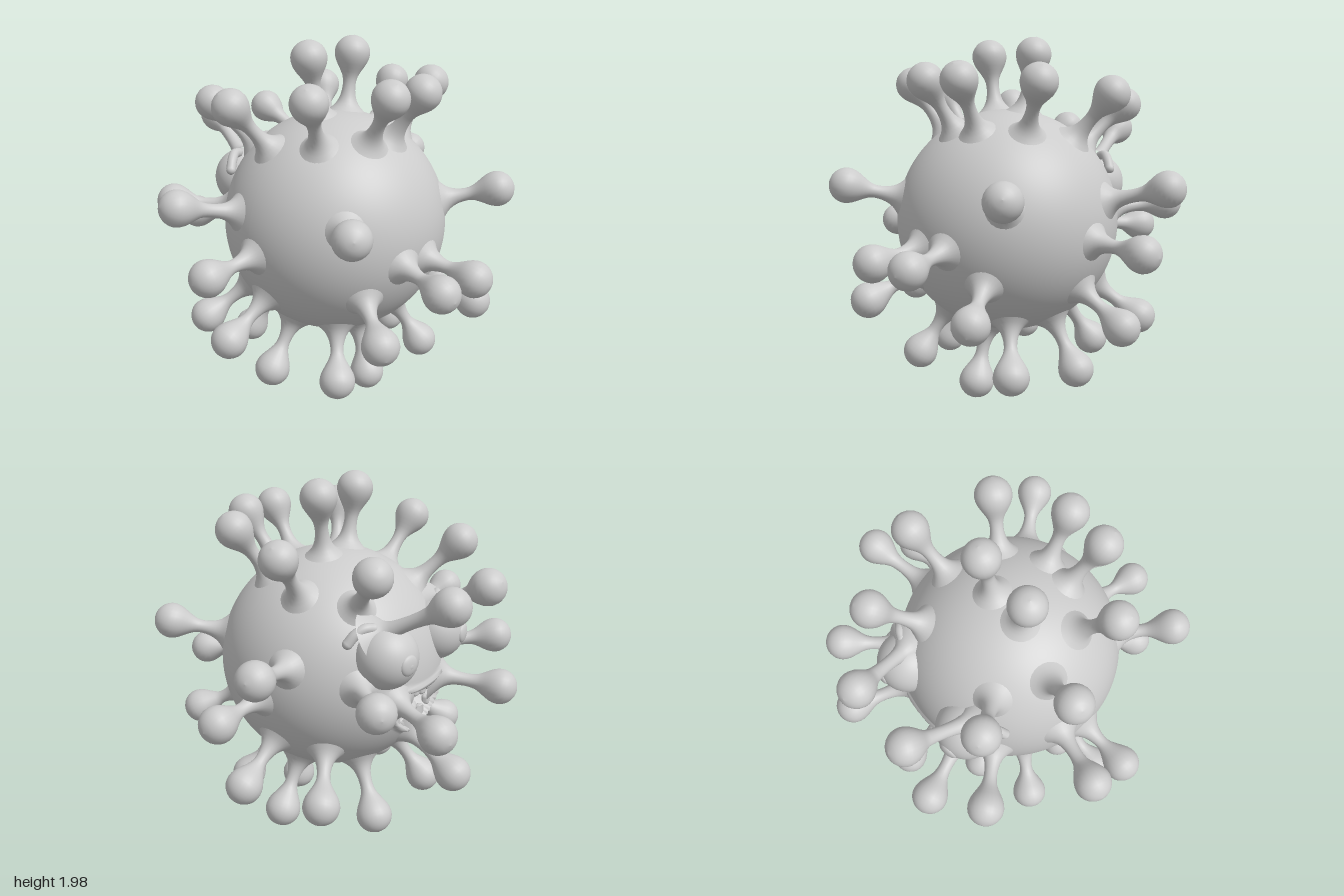
import * as THREE from 'three';
import { RoundedBoxGeometry } from 'three/addons/geometries/RoundedBoxGeometry.js';

const R = 0.62;
const CENTRE = new THREE.Vector3(0, 0.98, 0);
const UP = new THREE.Vector3(0, 1, 0);
const grey = new THREE.MeshStandardMaterial({ color: 0xcccccc, roughness: 0.7 });
const V = (x, y, z) => new THREE.Vector3(x, y, z);

function add(parent, name, geometry, position) {
  const mesh = new THREE.Mesh(geometry, grey);
  mesh.name = name;
  if (position) mesh.position.copy(position);
  parent.add(mesh);
  return mesh;
}

// Mouth outline: curved ellipse on the back; positive inside, negative outside
const mouthMid = (x) => 0.82 + 0.09 * (x / 0.25) ** 2;
function mouthField(x, y) {
  const u = x / 0.25, v = (y - mouthMid(x)) / 0.125;
  return 1 - u * u - v * v;
}

// Point on the ball's rear at a given x, y
const rear = (x, y, r) => V(x, y, -Math.sqrt(Math.max(0, r * r - x * x - (y - CENTRE.y) ** 2)));

// Ball with the mouth cavity pushed in and a soft lip around it
function bodyGeometry() {
  const g = new THREE.SphereGeometry(R, 200, 130);
  const p = g.attributes.position, v = V(0, 0, 0);
  for (let i = 0; i < p.count; i++) {
    v.fromBufferAttribute(p, i);
    if (v.z > -0.2) continue;
    const m = mouthField(v.x, v.y + CENTRE.y);
    const cavity = 0.17 * THREE.MathUtils.smoothstep(m, 0, 0.35);
    const lip = 0.018 * Math.exp(-(((m + 0.2) / 0.22) ** 2));
    v.setLength(R - cavity + lip);
    p.setXYZ(i, v.x, v.y, v.z);
  }
  g.computeVertexNormals();
  return g;
}

// Flared stalk ending in a round knob
function addSpike(parent, tip, base) {
  if (!base) base = tip.clone().sub(CENTRE).setLength(0.6).add(CENTRE);
  const axis = tip.clone().sub(base), L = axis.length();
  const profile = new THREE.SplineCurve([
    [0.15, -0.025], [0.098, 0.014], [0.062, 0.05], [0.042, 0.095], [0.035, L * 0.47],
    [0.042, L - 0.125], [0.064, L - 0.083], [0.087, L - 0.042], [0.097, L],
    [0.09, L + 0.037], [0.069, L + 0.068], [0.037, L + 0.089], [0, L + 0.097],
  ].map(([r, y]) => new THREE.Vector2(r, y))).getPoints(24);
  profile.forEach((q) => { q.x = Math.max(0, q.x); });
  const mesh = add(parent, 'spike', new THREE.LatheGeometry(profile, 24), base);
  mesh.quaternion.setFromUnitVectors(UP, axis.normalize());
}

// Knob centres on one half; mirrored when x is not zero
const TIPS = [
  [0.16, 1.89, -0.03], [0.12, 1.745, 0.51], [0.45, 1.735, 0.29], [0.6, 1.68, -0.13],
  [0.42, 1.625, -0.54], [0.56, 1.19, 0.69], [0.89, 1.195, -0.22], [0.13, 0.845, 0.88],
  [0.9, 0.895, 0.03], [0.61, 1.06, -0.7], [0.34, 0.885, -0.875], [0.375, 0.585, 0.71],
  [0.77, 0.49, 0], [0.63, 0.445, -0.395], [0.34, 0.225, 0.37], [0.48, 0.2, -0.01],
  [0.26, 0.225, -0.475], [0, 0.1, 0.265], [0, 0.48, -0.8],
];

// Bulging eyeball with raised iris and pupil
function addEye(parent, side) {
  const eye = new THREE.Group();
  eye.name = side > 0 ? 'leftEye' : 'rightEye';
  eye.position.set(side * 0.245, 1.17, -0.51);
  add(eye, 'eyeball', new THREE.SphereGeometry(0.168, 40, 28));
  const gaze = V(side * 0.2, 0, -1).normalize();
  for (const [name, r, d] of [['iris', 0.055, 0.157], ['pupil', 0.02, 0.172]]) {
    const disc = add(eye, name, new THREE.SphereGeometry(r, 24, 16), gaze.clone().multiplyScalar(d));
    disc.scale.set(1, 0.4, 1);
    disc.quaternion.setFromUnitVectors(UP, gaze);
  }
  parent.add(eye);
}

// Short curved eyebrow with rounded ends
function addBrow(parent, side) {
  const pts = [[0.31, 1.33, -0.475], [0.35, 1.335, -0.455], [0.39, 1.31, -0.425], [0.42, 1.265, -0.4]]
    .map(([x, y, z]) => V(side * x, y, z));
  const brow = new THREE.Group();
  brow.name = side > 0 ? 'leftBrow' : 'rightBrow';
  add(brow, 'browRidge', new THREE.TubeGeometry(new THREE.CatmullRomCurve3(pts), 20, 0.027, 14));
  for (const end of [pts[0], pts[3]]) add(brow, 'browEnd', new THREE.SphereGeometry(0.027, 14, 10), end);
  parent.add(brow);
}

// A row of rounded teeth following one lip
function addTeeth(parent, name, dir, count, span) {
  const row = new THREE.Group();
  row.name = name;
  for (let i = 0; i < count; i++) {
    const x = (i / (count - 1) * 2 - 1) * span;
    const edge = 0.125 * Math.sqrt(1 - (x / 0.25) ** 2);
    const h = 0.058 + 0.014 * (i % 2);
    const y = mouthMid(x) + dir * (edge - 0.018);
    const tooth = add(row, 'tooth', new RoundedBoxGeometry(0.052, h, 0.045, 2, 0.018), rear(x, y, R - 0.035));
    tooth.rotation.y = -Math.asin(x / R);
    tooth.rotation.z = 0.5 * x * dir;
  }
  parent.add(row);
}

export function createModel() {
  const model = new THREE.Group();
  model.name = 'spikyBall';
  add(model, 'body', bodyGeometry(), CENTRE);

  // Spikes all around
  const spikes = new THREE.Group();
  spikes.name = 'spikes';
  for (const [x, y, z] of TIPS) {
    for (const s of x ? [1, -1] : [1]) addSpike(spikes, V(s * x, y, z));
  }
  model.add(spikes);

  // Face: eyes, brows and the two long spikes above the eyes
  for (const s of [1, -1]) {
    addEye(model, s);
    addBrow(model, s);
    addSpike(spikes, V(s * 0.19, 1.48, -0.83), V(s * 0.265, 1.28, -0.47));
  }

  // Mouth contents
  addTeeth(model, 'upperTeeth', 1, 7, 0.18);
  addTeeth(model, 'lowerTeeth', -1, 6, 0.16);
  const tongue = add(model, 'tongue', new THREE.SphereGeometry(1, 28, 18), V(0, 0.77, -0.44));
  tongue.scale.set(0.12, 0.045, 0.1);
  return model;
}
